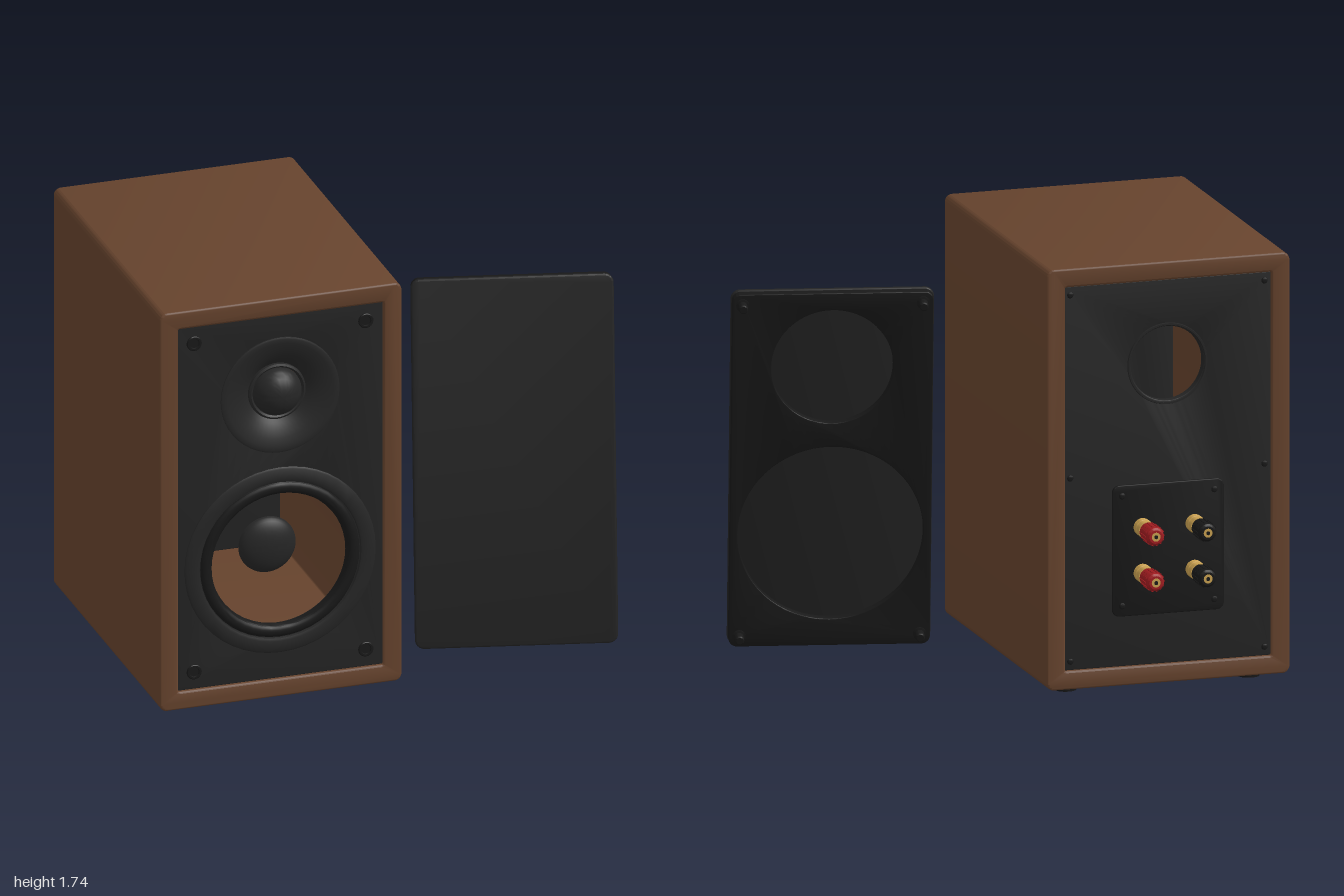
import * as THREE from 'three';
import { toCreasedNormals } from 'three/addons/utils/BufferGeometryUtils.js';

const material = (name, color, side = THREE.FrontSide) =>
  new THREE.MeshStandardMaterial({ name, color, side });

// Rounded rectangle centred on (x, y)
function roundedRect(w, h, r, x = 0, y = 0, Type = THREE.Shape) {
  const s = new Type(), a = w / 2, b = h / 2;
  s.moveTo(x - a + r, y - b);
  s.lineTo(x + a - r, y - b);
  s.absarc(x + a - r, y - b + r, r, -Math.PI / 2, 0);
  s.lineTo(x + a, y + b - r);
  s.absarc(x + a - r, y + b - r, r, 0, Math.PI / 2);
  s.lineTo(x - a + r, y + b);
  s.absarc(x - a + r, y + b - r, r, Math.PI / 2, Math.PI);
  s.lineTo(x - a, y - b + r);
  s.absarc(x - a + r, y - b + r, r, Math.PI, Math.PI * 1.5);
  return s;
}

function circleHole(x, y, r) {
  const p = new THREE.Path();
  p.absarc(x, y, r, 0, Math.PI * 2, true);
  return p;
}

// Extrude a shape between two z values, with a bevel kept inside its outline
function slab(shape, z0, z1, bevel) {
  const g = new THREE.ExtrudeGeometry(shape, {
    depth: z1 - z0 - 2 * bevel, bevelEnabled: bevel > 0, bevelThickness: bevel,
    bevelSize: bevel, bevelOffset: -bevel, bevelSegments: 3, curveSegments: 32,
  });
  g.translate(0, 0, z0 + bevel);
  return toCreasedNormals(g, 0.6);
}

// Turned part: profile of [radius, depth] pairs, facing front (dir 1) or back (dir -1)
function turned(points, dir = 1, segments = 48) {
  const g = new THREE.LatheGeometry(points.map(p => new THREE.Vector2(p[0], p[1])), segments);
  g.rotateX(dir * Math.PI / 2);
  return toCreasedNormals(g, 0.6);
}

// Profile of a dome, from its rim to its tip
function dome(radius, height, base, steps = 10) {
  return Array.from({ length: steps + 1 }, (_, i) => {
    const a = (i / steps) * Math.PI / 2;
    return [i === steps ? 0 : radius * Math.cos(a), base + height * Math.sin(a)];
  });
}

export function createModel() {
  const wood = material('walnut brown', 0x66432d);
  const panel = material('panel black', 0x242424);
  const driver = material('driver black', 0x262626);
  const rubber = material('rubber black', 0x181818);
  const cloth = material('grille cloth', 0x232323);
  const gold = material('brass', 0xc9a050);
  const red = material('red plastic', 0xa01c20);

  const model = new THREE.Group();
  model.name = 'bookshelfSpeaker';
  function add(parent, name, geometry, mat, x = 0, y = 0, z = 0) {
    const m = new THREE.Mesh(geometry, mat);
    m.name = name;
    m.position.set(x, y, z);
    parent.add(m);
    return m;
  }

  const CX = -0.5, CY = 0.885, TWEETER_Y = 1.32, WOOFER_Y = 0.615;
  const FRONT = 0.72, BACK = -0.57;

  // Hollow wooden cabinet, open front and back
  const shell = roundedRect(1, 1.7, 0.03, CX, CY);
  shell.holes.push(roundedRect(0.85, 1.55, 0.006, CX, CY, THREE.Path));
  add(model, 'cabinet', slab(shell, -0.585, 0.735, 0.008), wood);

  // Front baffle and rear panel with their openings
  const baffle = roundedRect(0.85, 1.55, 0.006, CX, CY);
  baffle.holes.push(circleHole(CX, TWEETER_Y, 0.235), circleHole(CX, WOOFER_Y, 0.285));
  add(model, 'frontBaffle', slab(baffle, FRONT - 0.04, FRONT, 0.003), panel);
  const rear = roundedRect(0.85, 1.55, 0.006, CX, CY);
  rear.holes.push(circleHole(CX, TWEETER_Y, 0.15));
  add(model, 'rearPanel', slab(rear, BACK, BACK + 0.03, 0.003), panel);
  add(model, 'portRim', turned([[0.165, 0], [0.163, 0.006], [0.156, 0.006], [0.149, -0.01], [0.149, -0.03]], -1),
    panel, CX, TWEETER_Y, BACK);

  // Tweeter: shallow flared plate, ring and dome
  const tweeter = new THREE.Group();
  tweeter.name = 'tweeter';
  tweeter.position.set(CX, TWEETER_Y, FRONT);
  model.add(tweeter);
  add(tweeter, 'tweeterFlare', turned([[0.245, 0], [0.245, 0.006], [0.238, 0.009], [0.22, 0.007], [0.19, -0.001],
    [0.16, -0.013], [0.135, -0.028], [0.118, -0.042]]), driver);
  add(tweeter, 'tweeterRing', turned([[0.118, -0.042], [0.117, -0.03], [0.109, -0.026], [0.102, -0.032], [0.1, -0.045]]), driver);
  add(tweeter, 'tweeterDome', turned(dome(0.1, 0.08, -0.04)), driver);

  // Woofer: trim ring, rolled surround, rear-facing cone and dust cap
  const woofer = new THREE.Group();
  woofer.name = 'woofer';
  woofer.position.set(CX, WOOFER_Y, FRONT);
  model.add(woofer);
  add(woofer, 'wooferRing', turned([[0.395, 0], [0.395, 0.005], [0.388, 0.01], [0.345, 0.012], [0.335, 0.008], [0.33, -0.006]]), driver);
  const roll = [];
  for (let i = 0; i <= 10; i++) {
    const a = (i / 10) * Math.PI;
    roll.push([0.306 + 0.025 * Math.cos(a), -0.006 + 0.018 * Math.sin(a)]);
  }
  roll.push([0.278, -0.022]);
  add(woofer, 'wooferSurround', turned(roll), rubber);
  add(woofer, 'wooferCone', turned([[0.118, -0.16], [0.2, -0.1], [0.278, -0.022]]), driver);
  add(woofer, 'dustCap', turned(dome(0.118, 0.05, -0.16)), driver);

  // Grille sockets in the baffle corners, and feet below
  const socket = turned([[0.031, 0], [0.031, 0.004], [0.028, 0.007], [0.021, 0.007], [0.019, 0.001], [0, 0.001]], 1, 24);
  const foot = new THREE.CylinderGeometry(0.048, 0.044, 0.037, 28);
  for (const sx of [-1, 1]) for (const s of [-1, 1]) {
    add(model, 'grilleSocket', socket, rubber, CX + sx * 0.355, CY + s * 0.702, FRONT);
    add(model, 'foot', foot, rubber, CX + sx * 0.377, 0.0185, 0.075 + s * 0.51);
  }

  // Terminal plate and rear screws
  add(model, 'terminalPlate', slab(roundedRect(0.46, 0.53, 0.03, CX, 0.578), BACK - 0.012, BACK, 0.004), rubber);
  const screw = turned(dome(0.013, 0.008, 0, 4), -1, 16);
  for (const sx of [-1, 1]) {
    for (const s of [-1, 0, 1]) add(model, 'panelScrew', screw, rubber, CX + sx * 0.4, CY + s * 0.74, BACK);
    for (const s of [-1, 1]) add(model, 'plateScrew', screw, rubber, CX + sx * 0.19, 0.578 + s * 0.222, BACK - 0.012);
  }

  // Binding posts: brass collar, ribbed cap, brass tip with a dark socket
  const collar = turned([[0.036, 0], [0.036, 0.03], [0.033, 0.032], [0.033, 0.036], [0.036, 0.038], [0.036, 0.07], [0, 0.07]], -1, 28);
  const cap = turned([[0.028, 0.068], [0.036, 0.078], [0.038, 0.1], [0.038, 0.155], [0.035, 0.17], [0.027, 0.177], [0, 0.177]], -1, 28);
  const tip = turned([[0.018, 0.17], [0.018, 0.179], [0, 0.179]], -1, 20);
  const bore = turned([[0.008, 0.178], [0.008, 0.18], [0, 0.18]], -1, 14);
  const rib = new THREE.BoxGeometry(0.006, 0.007, 0.066);
  for (const sx of [-1, 1]) for (const y of [0.67, 0.485]) {
    const post = new THREE.Group();
    post.name = 'bindingPost';
    post.position.set(CX + sx * 0.107, y, BACK - 0.012);
    model.add(post);
    const capColor = sx > 0 ? red : rubber;
    add(post, 'postCollar', collar, gold);
    add(post, 'postCap', cap, capColor);
    add(post, 'postTip', tip, gold);
    add(post, 'postBore', bore, rubber);
    for (let i = 0; i < 14; i++) {
      const a = (i / 14) * Math.PI * 2;
      add(post, 'capRib', rib, capColor, 0.0375 * Math.cos(a), 0.0375 * Math.sin(a), -0.127).rotation.z = a + Math.PI / 2;
    }
  }

  // Removed grille leaning beside the cabinet
  const grille = new THREE.Group();
  grille.name = 'grille';
  grille.position.set(0.578, 0.757, 0.393);
  grille.rotation.set(-0.15, -0.24, 0, 'YXZ');
  model.add(grille);
  const frame = roundedRect(0.792, 1.492, 0.034);
  frame.holes.push(circleHole(0, TWEETER_Y - CY, 0.24), circleHole(0, WOOFER_Y - CY, 0.365));
  add(grille, 'grilleFrame', slab(frame, -0.028, 0.008, 0.003), rubber);
  add(grille, 'grilleCloth', slab(roundedRect(0.8, 1.5, 0.038), 0.006, 0.028, 0.007), cloth);
  const peg = turned([[0.026, 0], [0.026, 0.006], [0.018, 0.008], [0.018, 0.044], [0.014, 0.05], [0, 0.05]], -1, 20);
  for (const sx of [-1, 1]) for (const sy of [-1, 1])
    add(grille, 'grillePeg', peg, rubber, sx * 0.355, sy * 0.702, -0.028);

  return model;
}
